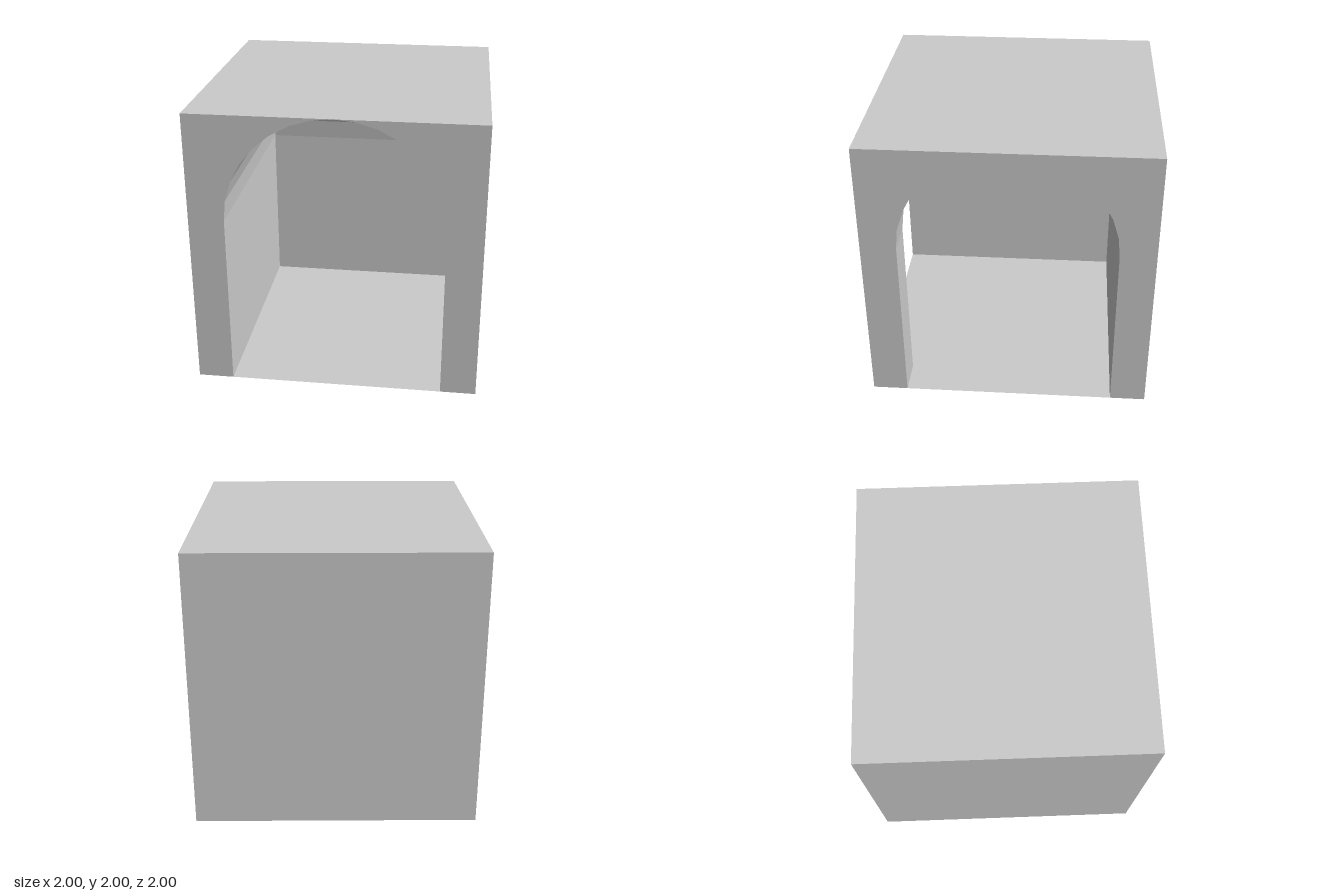
import * as THREE from 'three';

const HALF = 1, HEIGHT = 2, RADIUS = 0.75, SPRING = 1.25, STEPS = 8;

export function createModel() {
  const group = new THREE.Group();
  const material = new THREE.MeshStandardMaterial({ color: 0xcccccc, flatShading: true });
  const thin = new THREE.MeshStandardMaterial({ color: 0xcccccc, flatShading: true, side: THREE.DoubleSide });

  const add = (name, geometry, mat = material) => {
    const mesh = new THREE.Mesh(geometry, mat);
    mesh.name = name;
    group.add(mesh);
    return mesh;
  };

  // Half arch profile: [half width, height] from the floor to the crown
  const profile = [[RADIUS, 0]];
  for (let i = 0; i <= STEPS; i++) {
    const a = (i / STEPS) * Math.PI / 2;
    profile.push([RADIUS * Math.cos(a), SPRING + RADIUS * Math.sin(a)]);
  }

  // Plain outer faces: closed back and left-hand walls, roof and thin floor
  const square = () => new THREE.PlaneGeometry(2 * HALF, HEIGHT);
  add('backWall', square().rotateY(Math.PI).translate(0, HEIGHT / 2, -HALF));
  add('sideWall', square().rotateY(-Math.PI / 2).translate(-HALF, HEIGHT / 2, 0));
  add('roof', square().rotateX(-Math.PI / 2).translate(0, HEIGHT, 0));
  add('floor', square().rotateX(-Math.PI / 2), thin);

  // Arched faces, each made of two mirrored halves meeting at the crown
  const halfFace = (s) => new THREE.Shape([
    ...profile.map(([x, y]) => new THREE.Vector2(s * x, y)),
    new THREE.Vector2(s * HALF, HEIGHT),
    new THREE.Vector2(s * HALF, 0),
  ]);
  const archFace = () =>
    new THREE.ShapeGeometry([halfFace(1), halfFace(-1)]).translate(0, 0, HALF);
  add('frontArch', archFace());
  add('sideArch', archFace().rotateY(Math.PI / 2));

  // Two crossing barrel vaults, mitred in the closed corner
  const positions = [];
  const quad = (a, b, c, d) => positions.push(...a, ...b, ...c, ...a, ...c, ...d);
  const swap = ([x, y, z]) => [z, y, x];
  const mirroredPair = (a, b, c, d) => {
    quad(a, b, c, d);
    quad(swap(d), swap(c), swap(b), swap(a));
  };
  for (let i = 0; i < profile.length - 1; i++) {
    const [p, y] = profile[i], [q, v] = profile[i + 1];
    // long sides against the closed walls
    mirroredPair([-p, y, -p], [HALF, y, -p], [HALF, v, -q], [-q, v, -q]);
    // short sides around the free corner pillar
    mirroredPair([HALF, y, p], [p, y, p], [q, v, q], [HALF, v, q]);
  }
  const vault = new THREE.BufferGeometry();
  vault.setAttribute('position', new THREE.Float32BufferAttribute(positions, 3));
  vault.computeVertexNormals();
  add('vaultInterior', vault);

  return group;
}
